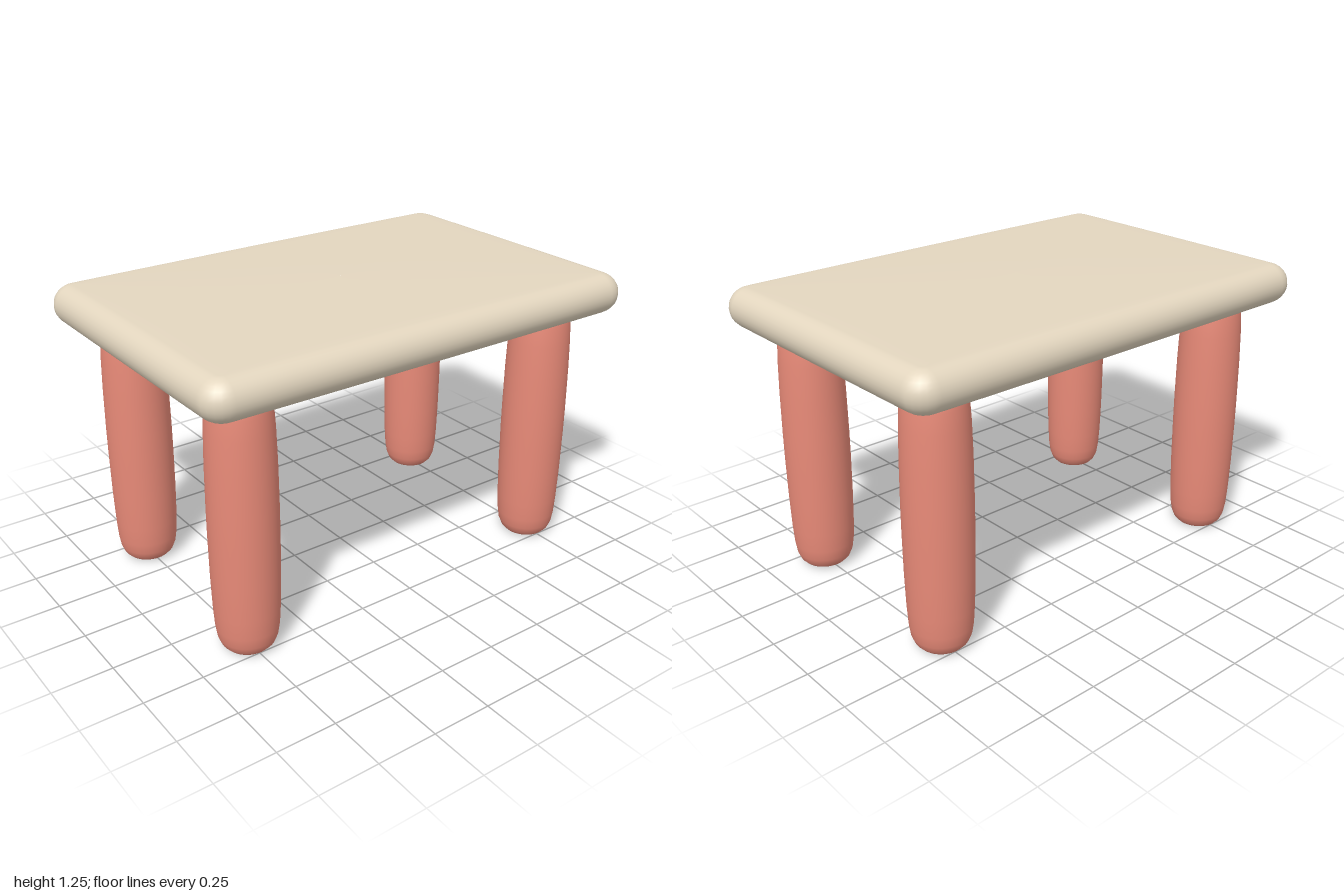
import * as THREE from 'three';

const HALF_X = 1, HALF_Z = 0.665, MID_Y = 1.153, EDGE = 0.083, CORNER = 0.1, BULGE = 0.014;

// Rounded rectangle in plan, inset from the outer edge, with subdivided sides
function outline(inset) {
  const r = CORNER - inset, cx = HALF_X - CORNER, cz = HALF_Z - CORNER;
  const signs = [[1, 1], [-1, 1], [-1, -1], [1, -1]];
  const arcs = signs.map(([sx, sz], q) => {
    const arc = [];
    for (let k = 0; k <= 6; k++) {
      const t = (q + k / 6) * Math.PI / 2;
      arc.push([sx * cx + r * Math.cos(t), sz * cz + r * Math.sin(t)]);
    }
    return arc;
  });
  const points = [];
  arcs.forEach((arc, q) => {
    points.push(...arc);
    const a = arc[6], b = arcs[(q + 1) % 4][0];
    for (let k = 1; k < 8; k++) {
      const t = k / 8;
      points.push([a[0] + (b[0] - a[0]) * t, a[1] + (b[1] - a[1]) * t]);
    }
  });
  return points;
}

// Pillow-like slab: rings from the bottom centre, round the edge, to the top centre
function slabGeometry() {
  const rings = [];
  const inner = [0.001, 0.2, 0.4, 0.6, 0.8, 0.93];
  inner.forEach(s => rings.push({ angle: -Math.PI / 2, scale: s }));
  for (let k = 0; k <= 14; k++) rings.push({ angle: (k / 14 - 0.5) * Math.PI, scale: 1 });
  [...inner].reverse().forEach(s => rings.push({ angle: Math.PI / 2, scale: s }));

  const positions = [], indices = [];
  let n = 0;
  for (const { angle, scale } of rings) {
    const points = outline(EDGE * (1 - Math.cos(angle)));
    n = points.length;
    for (const [px, pz] of points) {
      const x = px * scale, z = pz * scale;
      const swell = BULGE * (1 - (x / HALF_X) ** 2) * (1 - (z / HALF_Z) ** 2);
      positions.push(x, Math.sin(angle) * (EDGE + swell), z);
    }
  }
  for (let i = 0; i < rings.length - 1; i++) {
    for (let j = 0; j < n; j++) {
      const a = i * n + j, b = i * n + (j + 1) % n;
      indices.push(a, a + n, b, b, a + n, b + n);
    }
  }
  const geometry = new THREE.BufferGeometry();
  geometry.setAttribute('position', new THREE.Float32BufferAttribute(positions, 3));
  geometry.setIndex(indices);
  geometry.computeVertexNormals();
  return geometry;
}

// Slightly barrelled leg with soft ends, the top end sunk into the slab
function legGeometry() {
  const height = 1.12;
  const half = [[0.07, 0], [0.09, 0.008], [0.107, 0.026], [0.119, 0.055], [0.126, 0.1],
    [0.131, 0.18], [0.135, 0.32], [0.137, 0.5]];
  const profile = [[0, 0], ...half, ...half.map(([r, y]) => [r, height - y]).reverse(), [0, height]];
  return new THREE.LatheGeometry(profile.map(([r, y]) => new THREE.Vector2(r, y)), 40);
}

export function createModel() {
  const model = new THREE.Group();
  model.name = 'table';

  const top = new THREE.Mesh(slabGeometry(), new THREE.MeshStandardMaterial({ color: 0xe3d6bf }));
  top.name = 'tabletop';
  top.position.y = MID_Y;
  model.add(top);

  // Four legs
  const leg = legGeometry();
  const legMaterial = new THREE.MeshStandardMaterial({ color: 0xe88a78 });
  for (const [zName, sz] of [['front', 1], ['back', -1]]) {
    for (const [xName, sx] of [['Left', 1], ['Right', -1]]) {
      const mesh = new THREE.Mesh(leg, legMaterial);
      mesh.name = `${zName}${xName}Leg`;
      mesh.position.set(sx * 0.75, 0, sz * 0.418);
      model.add(mesh);
    }
  }
  return model;
}
